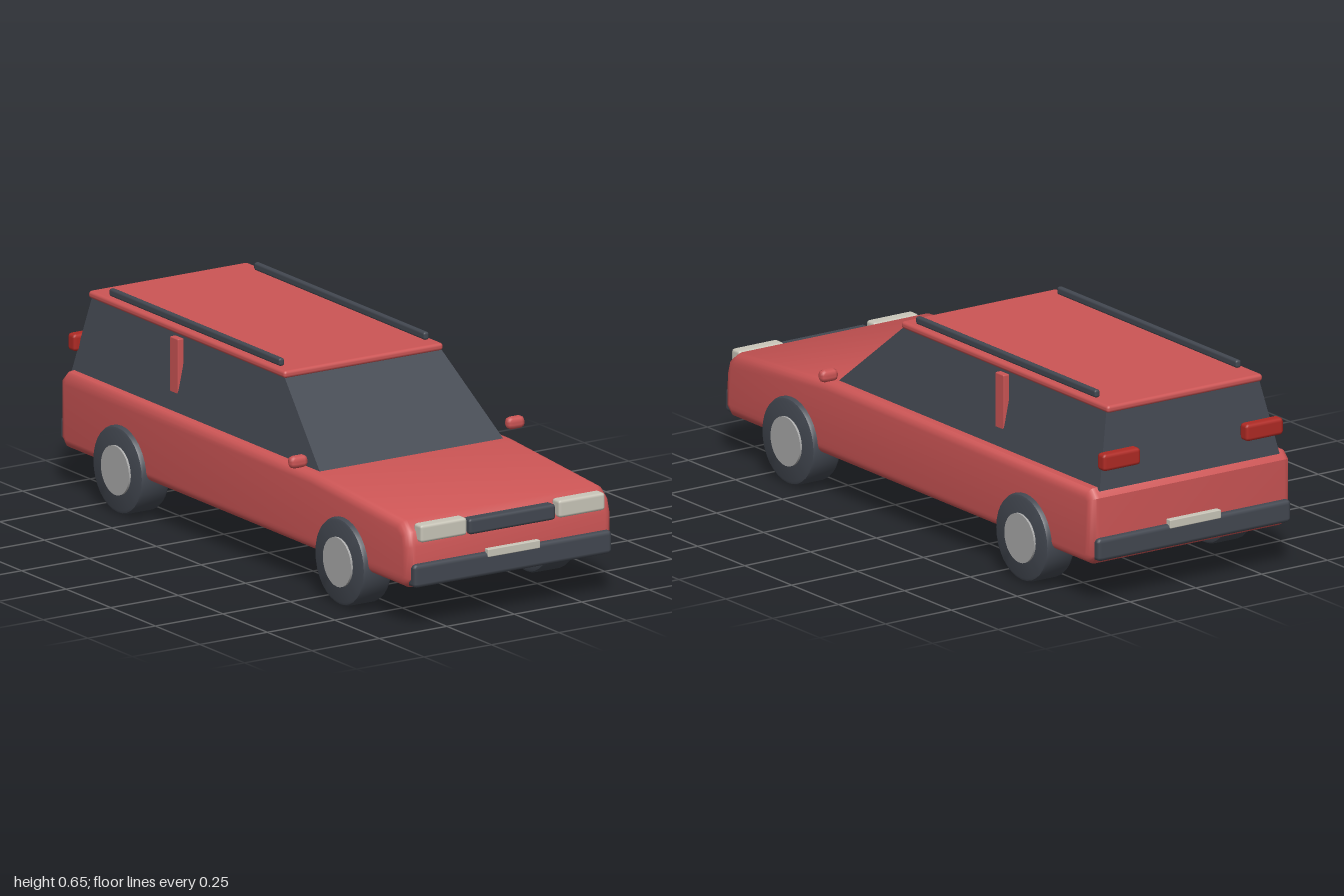
import * as THREE from 'three';
import { toCreasedNormals } from 'three/addons/utils/BufferGeometryUtils.js';
import { RoundedBoxGeometry } from 'three/addons/geometries/RoundedBoxGeometry.js';

const paint = (name, color) => Object.assign(new THREE.MeshStandardMaterial({ color }), { name });

export function createModel() {
  const car = new THREE.Group();
  car.name = 'stationWagon';
  const red = paint('bodyRed', 0xcc5555);
  const dark = paint('darkTrim', 0x434851);
  const cream = paint('lampCream', 0xcac7ba);
  const grey = paint('hubGrey', 0xaaaaaa);
  const lampRed = paint('tailLampRed', 0xb02a24);

  const add = (name, geometry, material, x = 0, y = 0, z = 0) => {
    const mesh = new THREE.Mesh(geometry, material);
    mesh.name = name;
    mesh.position.set(x, y, z);
    car.add(mesh);
    return mesh;
  };
  // Softened box given by its limits on each axis
  const block = (name, material, [x0, x1], [y0, y1], [z0, z1], radius, segments = 1) =>
    add(name, new RoundedBoxGeometry(x1 - x0, y1 - y0, z1 - z0, segments, radius), material,
      (x0 + x1) / 2, (y0 + y1) / 2, (z0 + z1) / 2);
  const pair = (name, material, [x0, x1], ...rest) => {
    block(name + 'Left', material, [x0, x1], ...rest);
    block(name + 'Right', material, [-x1, -x0], ...rest);
  };

  // Lower body: side profile (z, y) extruded across the width
  const bevel = 0.03;
  const profile = new THREE.Shape([
    [-0.94, 0.16], [0.94, 0.16], [0.952, 0.172], [0.95, 0.26], [0.94, 0.293], [0.915, 0.312],
    [0.43, 0.345], [-0.94, 0.345], [-0.95, 0.335], [-0.95, 0.17],
  ].map(([z, y]) => new THREE.Vector2(z, y)));
  const width = 0.76 - 2 * bevel;
  const body = new THREE.ExtrudeGeometry(profile, {
    depth: width, bevelEnabled: true, bevelSize: bevel, bevelThickness: bevel, bevelSegments: 4,
  });
  body.translate(0, 0, -width / 2).rotateY(-Math.PI / 2);
  add('body', toCreasedNormals(body, 0.7), red);

  // Glasshouse: a box tapered towards the roof
  const cabin = new THREE.BoxGeometry(1, 1, 1);
  const p = cabin.attributes.position;
  for (let i = 0; i < p.count; i++) {
    const top = p.getY(i) > 0;
    const halfWidth = top ? 0.29 : 0.342;
    const front = top ? 0.15 : 0.435;
    const back = top ? -0.93 : -0.967;
    p.setXYZ(i, Math.sign(p.getX(i)) * halfWidth, top ? 0.606 : 0.365, p.getZ(i) > 0 ? front : back);
  }
  cabin.computeVertexNormals();
  add('glasshouse', cabin, dark);

  // Roof, rails, pillars and mirrors
  block('roof', red, [-0.295, 0.295], [0.602, 0.626], [-0.945, 0.158], 0.01, 2);
  pair('roofRail', dark, [0.258, 0.278], [0.626, 0.652], [-0.855, 0.105], 0.008);
  pair('doorPillar', red, [0.305, 0.328], [0.4, 0.605], [-0.437, -0.39], 0.004);
  pair('mirror', red, [0.37, 0.434], [0.39, 0.431], [0.375, 0.413], 0.017);

  // Front end
  pair('headlight', cream, [0.17, 0.342], [0.279, 0.336], [0.95, 0.996], 0.01);
  block('grille', dark, [-0.16, 0.16], [0.276, 0.327], [0.95, 0.993], 0.01);
  block('frontBumper', dark, [-0.367, 0.367], [0.136, 0.212], [0.94, 0.998], 0.014);
  block('frontPlate', cream, [-0.097, 0.097], [0.197, 0.223], [0.98, 1], 0.003);

  // Rear end
  pair('tailLight', lampRed, [0.2, 0.342], [0.432, 0.488], [-0.992, -0.95], 0.012);
  block('rearBumper', dark, [-0.367, 0.367], [0.146, 0.22], [-0.998, -0.94], 0.014);
  block('rearPlate', cream, [-0.097, 0.097], [0.208, 0.236], [-1, -0.975], 0.003);

  // Wheels: lathed tyre with rounded shoulders and a flat hub disc
  const tyre = new THREE.LatheGeometry([
    [0, -0.054], [0.128, -0.054], [0.136, -0.051], [0.14, -0.043],
    [0.14, 0.043], [0.136, 0.051], [0.128, 0.054], [0, 0.054],
  ].map(([r, y]) => new THREE.Vector2(r, y)), 32);
  const tyreGeometry = toCreasedNormals(tyre.rotateZ(-Math.PI / 2), 0.6);
  const hubGeometry = new THREE.CylinderGeometry(0.079, 0.079, 0.03, 28).rotateZ(-Math.PI / 2);
  for (const [end, z] of [['front', 0.618], ['rear', -0.627]]) {
    for (const [name, side] of [['Left', 1], ['Right', -1]]) {
      add(end + name + 'Tyre', tyreGeometry, dark, side * 0.344, 0.14, z);
      add(end + name + 'Hub', hubGeometry, grey, side * 0.39, 0.14, z);
    }
  }
  return car;
}
